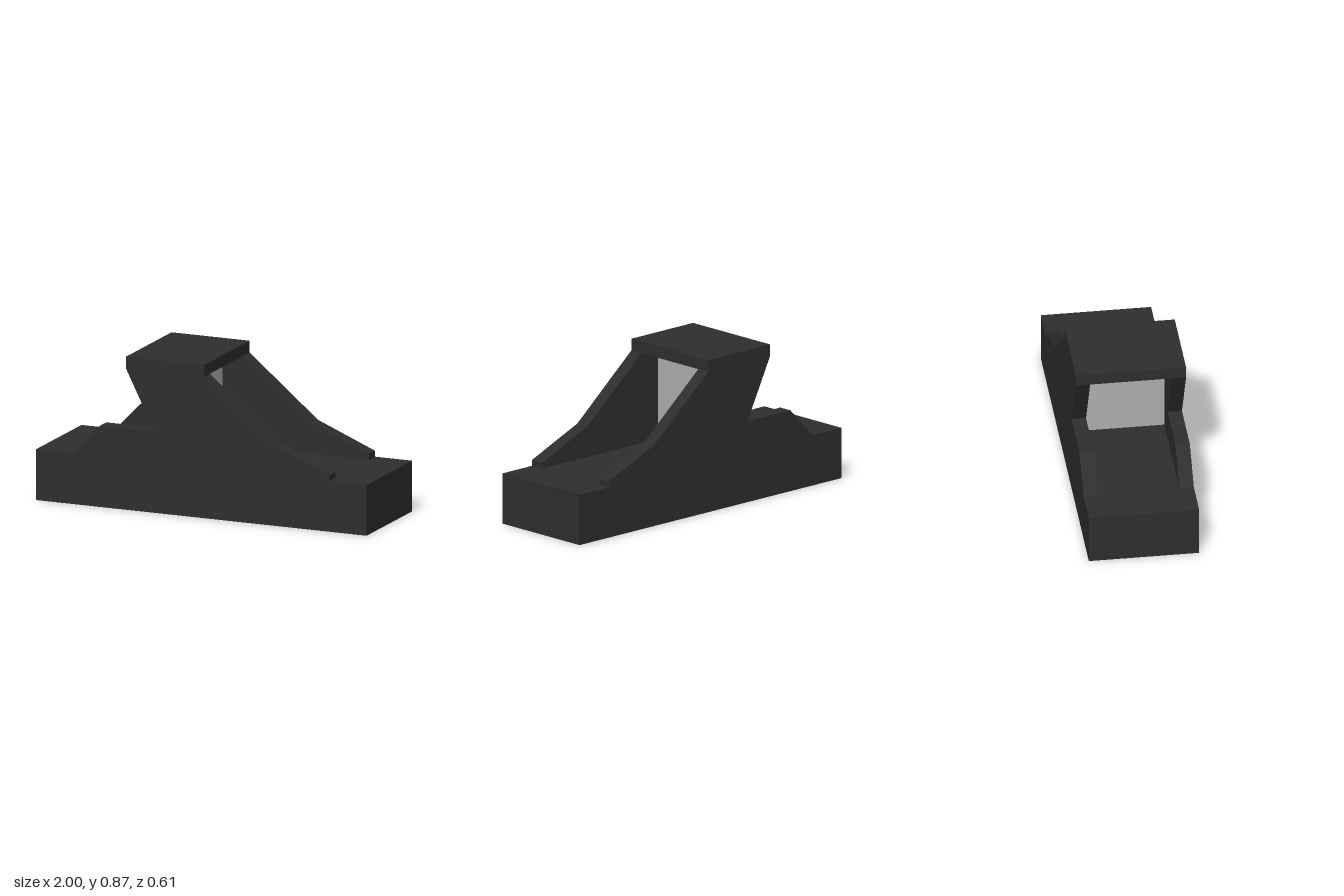
import * as THREE from 'three';

export function createModel() {
  const model = new THREE.Group();
  const charcoal = new THREE.MeshStandardMaterial({ color: 0x2e2e2e });
  charcoal.name = 'charcoal';
  const paleGrey = new THREE.MeshStandardMaterial({ color: 0xb0b0b0 });
  paleGrey.name = 'paleGrey';

  // Axis-aligned block given by its limits along each axis
  function block(name, material, [x0, x1], [y0, y1], [z0, z1]) {
    const mesh = new THREE.Mesh(new THREE.BoxGeometry(x1 - x0, y1 - y0, z1 - z0), material);
    mesh.position.set((x0 + x1) / 2, (y0 + y1) / 2, (z0 + z1) / 2);
    mesh.name = name;
    model.add(mesh);
  }

  const half = 0.307, inner = 0.227, deck = 0.288, underRoof = 0.803;

  block('base', charcoal, [-1, 1], [0, deck], [-half, half]);
  block('roof', charcoal, [-0.455, 0.017], [underRoof, 0.87], [-half, half]);
  block('pane', paleGrey, [-0.15, -0.11], [deck, underRoof], [-inner, inner]);

  // Side walls: one sloping outline extruded, front and back
  const outline = new THREE.Shape([
    [-0.78, deck], [0.775, deck], [0.775, 0.322], [0.43, 0.463],
    [0.017, underRoof], [-0.455, underRoof], [-0.283, 0.463], [-0.61, 0.463],
  ].map(([x, y]) => new THREE.Vector2(x, y)));
  const wallGeometry = new THREE.ExtrudeGeometry(outline, { depth: half - inner, bevelEnabled: false });
  for (const [name, z] of [['frontWall', inner], ['backWall', -half]]) {
    const wall = new THREE.Mesh(wallGeometry, charcoal);
    wall.position.z = z;
    wall.name = name;
    model.add(wall);
  }

  return model;
}
